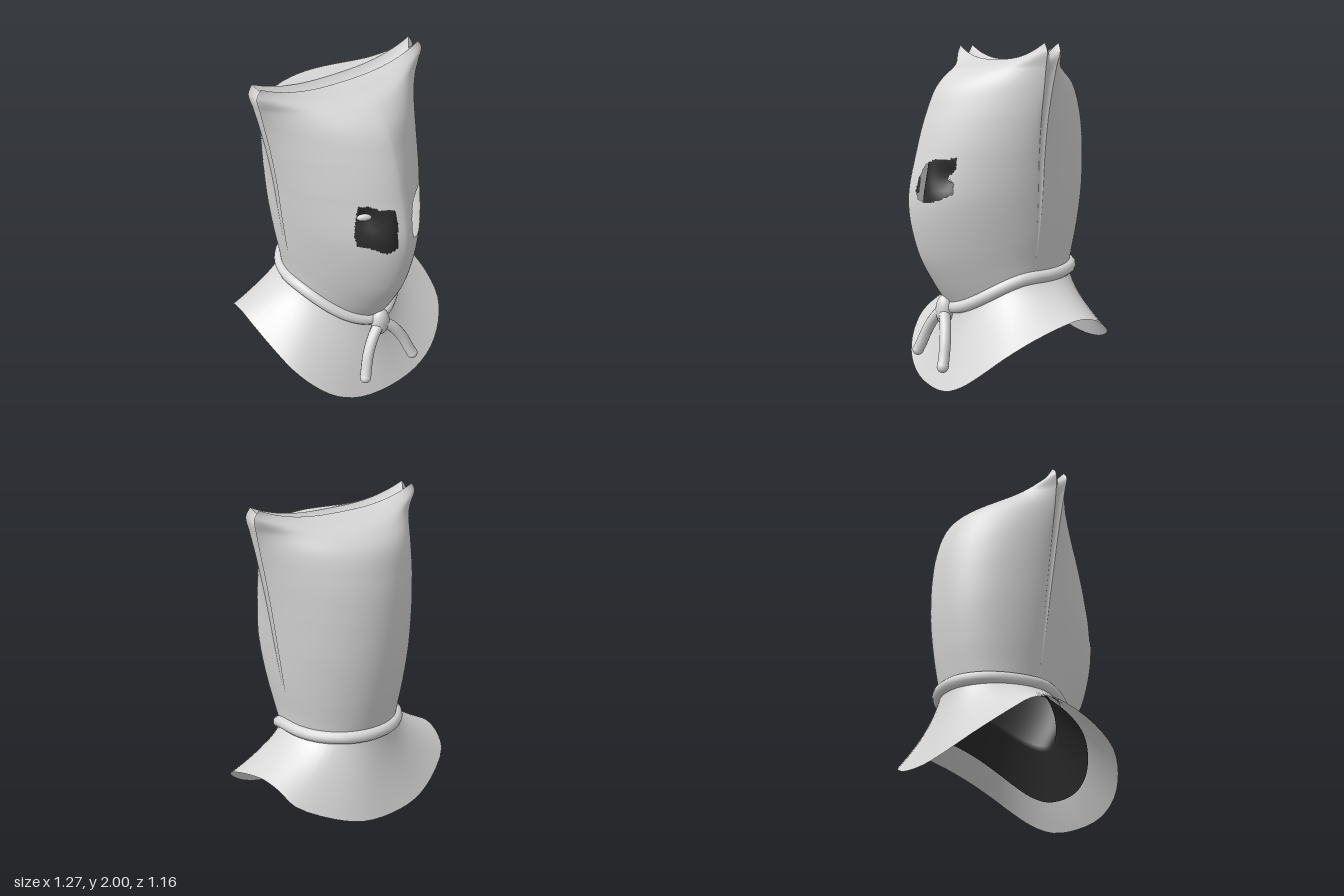
import * as THREE from 'three';
import { mergeVertices } from 'three/addons/utils/BufferGeometryUtils.js';

const cloth = new THREE.MeshStandardMaterial({ color: 0xd8d8d8, side: THREE.DoubleSide });
cloth.name = 'paleCloth';
const dark = new THREE.MeshStandardMaterial({ color: 0x2e2e2e, side: THREE.DoubleSide });
dark.name = 'darkLining';

const V = (x, y, z) => new THREE.Vector3(x, y, z);
const curve = (pts, closed = false) => new THREE.CatmullRomCurve3(pts.map(p => V(...p)), closed);
const HALF = Math.PI / 2, EPS = 1e-6;

// Sack sections from neck to top: centre lines, side edge, seam depths (front, back) and roundness (front, back)
const frontLine = curve([[0, .46, .33], [0, .6, .42], [0, .8, .52], [0, 1.1, .575], [0, 1.4, .515],
  [0, 1.6, .455], [0, 1.76, .38], [0, 1.85, .27], [0, 1.885, .13], [0, 1.91, .02]]);
const backLine = curve([[0, .68, -.44], [0, .77, -.46], [0, .93, -.49], [0, 1.15, -.515], [0, 1.4, -.515],
  [0, 1.6, -.49], [0, 1.77, -.43], [0, 1.85, -.33], [0, 1.885, -.2], [0, 1.91, -.085]]);
const sideLine = curve([[.34, .665, 0], [.355, .76, 0], [.385, .92, 0], [.42, 1.15, 0], [.455, 1.4, 0],
  [.49, 1.6, 0], [.525, 1.76, 0], [.55, 1.87, 0], [.568, 1.955, 0], [.54, 2, 0]]);
const seamLine = curve([[-.055, -.056, 0], [-.054, -.057, 0], [-.048, -.062, 0], [-.035, -.062, 0],
  [-.02, -.056, 0], [-.012, -.055, 0], [-.008, -.06, 0], [-.003, -.068, 0], [0, -.08, 0], [0, -.085, 0]]);
const roundLine = curve([[.5, .5, 0], [.55, .52, 0], [.6, .55, 0], [.6, .57, 0], [.64, .62, 0],
  [.78, .72, 0], [.95, .88, 0], [1, 1, 0], [.75, .75, 0], [.7, .7, 0]]);

// Point on the sack: angle 0 is the front, v runs from neck to top
function sackPoint(angle, v) {
  const front = Math.cos(angle) >= -1e-9;
  const mid = (front ? frontLine : backLine).getPoint(v);
  const edge = sideLine.getPoint(v), seam = seamLine.getPoint(v), r = roundLine.getPoint(v);
  const s = Math.sin(angle), t = Math.min(Math.abs(s), 1);
  const round = Math.pow(Math.max(0, 1 - Math.pow(t, front ? 1.6 : 2)), front ? r.x : r.y);
  const z0 = front ? seam.x : seam.y;
  return V(edge.x * s, mid.y + (edge.y - mid.y) * Math.pow(t, 2 + .7 * v), z0 + (mid.z - z0) * round);
}

// Collar rim, front to back on one side, then mirrored
const rimHalf = [[0, 0, .48], [.22, .02, .465], [.38, .09, .43], [.5, .19, .36], [.58, .29, .26], [.62, .38, .1],
  [.635, .45, -.1], [.63, .465, -.2], [.61, .44, -.31], [.57, .37, -.41], [.38, .27, -.52], [.2, .21, -.57], [0, .19, -.58]];
const rimCurve = curve([...rimHalf, ...rimHalf.slice(1, -1).reverse().map(([x, y, z]) => [-x, y, z])], true);
const rimPoint = a => rimCurve.getPoint((a / (2 * Math.PI)) % 1);
const neckPoint = a => sackPoint(a, 0);

// Surface from a grid of points; faces whose centre passes skip() are left out
function surface(nu, nv, point, skip) {
  const pos = [], index = [], pts = [];
  for (let j = 0; j <= nv; j++) for (let i = 0; i <= nu; i++) {
    const p = point(i / nu, j / nv);
    pts.push(p);
    pos.push(p.x, p.y, p.z);
  }
  const face = (a, b, c) => {
    const m = pts[a].clone().add(pts[b]).add(pts[c]).divideScalar(3);
    if (!skip || !skip(m)) index.push(a, b, c);
  };
  for (let j = 0; j < nv; j++) for (let i = 0; i < nu; i++) {
    const a = j * (nu + 1) + i, d = a + nu + 1;
    face(a, a + 1, d);
    face(a + 1, d + 1, d);
  }
  let g = new THREE.BufferGeometry();
  g.setAttribute('position', new THREE.Float32BufferAttribute(pos, 3));
  g.setIndex(index);
  g = mergeVertices(g, 1e-5);
  g.computeVertexNormals();
  return g;
}

// Ragged outlines of the two eye openings
const eyeOutlines = [
  [[-.217, 1.36], [-.175, 1.365], [-.12, 1.34], [-.05, 1.335], [-.045, 1.26], [-.055, 1.18], [-.055, 1.11],
    [-.105, 1.075], [-.165, 1.11], [-.23, 1.12], [-.24, 1.19], [-.233, 1.275]],
  [[.063, 1.245], [.09, 1.325], [.13, 1.35], [.195, 1.355], [.24, 1.365], [.243, 1.31], [.215, 1.26],
    [.24, 1.225], [.24, 1.17], [.195, 1.14], [.13, 1.11], [.075, 1.125], [.055, 1.17]],
];
function inside(poly, x, y) {
  let hit = false;
  poly.forEach(([x1, y1], i) => {
    const [x2, y2] = poly[(i + 1) % poly.length];
    if ((y1 > y) !== (y2 > y) && x < x1 + (x2 - x1) * (y - y1) / (y2 - y1)) hit = !hit;
  });
  return hit;
}

// Point on the dark lining: s runs from its open bottom to its domed top
function liningPoint(a, s) {
  const v = THREE.MathUtils.clamp((s - .2) / .5, 0, 1) * .55;
  const p = sackPoint(a, v).multiply(V(.82, 1, .84));
  if (s < .2) return neckPoint(a).lerp(rimPoint(a), .65).multiply(V(.88, 1, .88)).lerp(p, s / .2);
  if (s > .7) {
    const k = (s - .7) / .3 * HALF;
    return V(p.x * Math.cos(k), p.y + .22 * Math.sin(k), p.z * Math.cos(k));
  }
  // shallow eye sockets
  if (p.z > 0) p.z -= .06 * Math.exp(-((Math.abs(p.x) - .125) ** 2) / .004 - ((p.y - 1.24) ** 2) / .006);
  return p;
}

export function createModel() {
  const model = new THREE.Group();
  model.name = 'sackHood';
  const add = (name, geometry, material = cloth) => {
    const mesh = new THREE.Mesh(geometry, material);
    mesh.name = name;
    model.add(mesh);
    return mesh;
  };

  // Front and back sack panels
  add('frontPanel', surface(200, 190, (u, v) => sackPoint(-HALF + u * Math.PI, v),
    m => eyeOutlines.some(o => inside(o, m.x, m.y))));
  add('backPanel', surface(64, 80, (u, v) => sackPoint(HALF + EPS + u * (Math.PI - 2 * EPS), v)));

  // Sunken seam running up one side, across the top and down the other
  const seamPoint = (s, front) => {
    const v = s < .4 ? s / .4 : s > .6 ? (1 - s) / .4 : 1;
    const a = (s < .4 ? HALF : s > .6 ? -HALF : HALF - (s - .4) / .2 * Math.PI) * (1 - EPS);
    return sackPoint(front ? a : Math.PI - a, v);
  };
  add('sideSeam', surface(2, 200, (u, s) => {
    const f = seamPoint(s, true), b = seamPoint(s, false);
    if (u === 0) return b;
    if (u === 1) return f;
    const depth = Math.min(1, Math.abs(f.z - b.z) / .05);
    const m = f.add(b).multiplyScalar(.5);
    return V(m.x * (1 - .06 * depth), m.y - .05 * depth, m.z);
  }));

  // Flared collar below the rope
  add('collar', surface(72, 14, (u, v) => {
    const a = Math.PI + u * 2 * Math.PI, n = neckPoint(a), r = rimPoint(a), k = 1 - v;
    const flare = Math.pow(k, 1.4);
    return V(n.x + (r.x - n.x) * flare, n.y + (r.y - n.y) * k, n.z + (r.z - n.z) * flare);
  }));

  // Dark lining inside the sack, open at the bottom
  add('lining', surface(120, 80, (u, s) => liningPoint(Math.PI + u * 2 * Math.PI, s)), dark);

  // Pale almond eyes set in the lining
  for (const side of [-1, 1]) {
    const eye = add(side > 0 ? 'leftEye' : 'rightEye', new THREE.SphereGeometry(1, 24, 12));
    eye.scale.set(.046, .021, .018);
    eye.position.set(side * .127, 1.237, .355);
    eye.rotation.y = side * .45;
  }

  // Rope round the neck
  const ring = [];
  for (let i = 0; i < 32; i++) {
    const p = neckPoint(i / 32 * 2 * Math.PI);
    ring.push([p.x * 1.02, p.y, p.z * 1.02]);
  }
  add('neckRope', new THREE.TubeGeometry(curve(ring, true), 96, .037, 12, true));

  // Knot and two hanging ends
  const knot = add('knot', new THREE.SphereGeometry(1, 24, 16));
  knot.scale.set(.06, .092, .05);
  knot.position.set(0, .44, .365);
  for (const side of [-1, 1]) {
    const name = side > 0 ? 'left' : 'right';
    const path = [[.01, .44, .37], [.08, .375, .395], [.135, .29, .42], [.17, .2, .445], [.187, .158, .46]];
    const tail = curve(path.map(([x, y, z]) => [x * side, y, z]));
    add(name + 'RopeEnd', new THREE.TubeGeometry(tail, 24, .034, 12));
    add(name + 'RopeTip', new THREE.SphereGeometry(.035, 16, 12)).position.copy(tail.getPoint(1));
  }
  return model;
}
